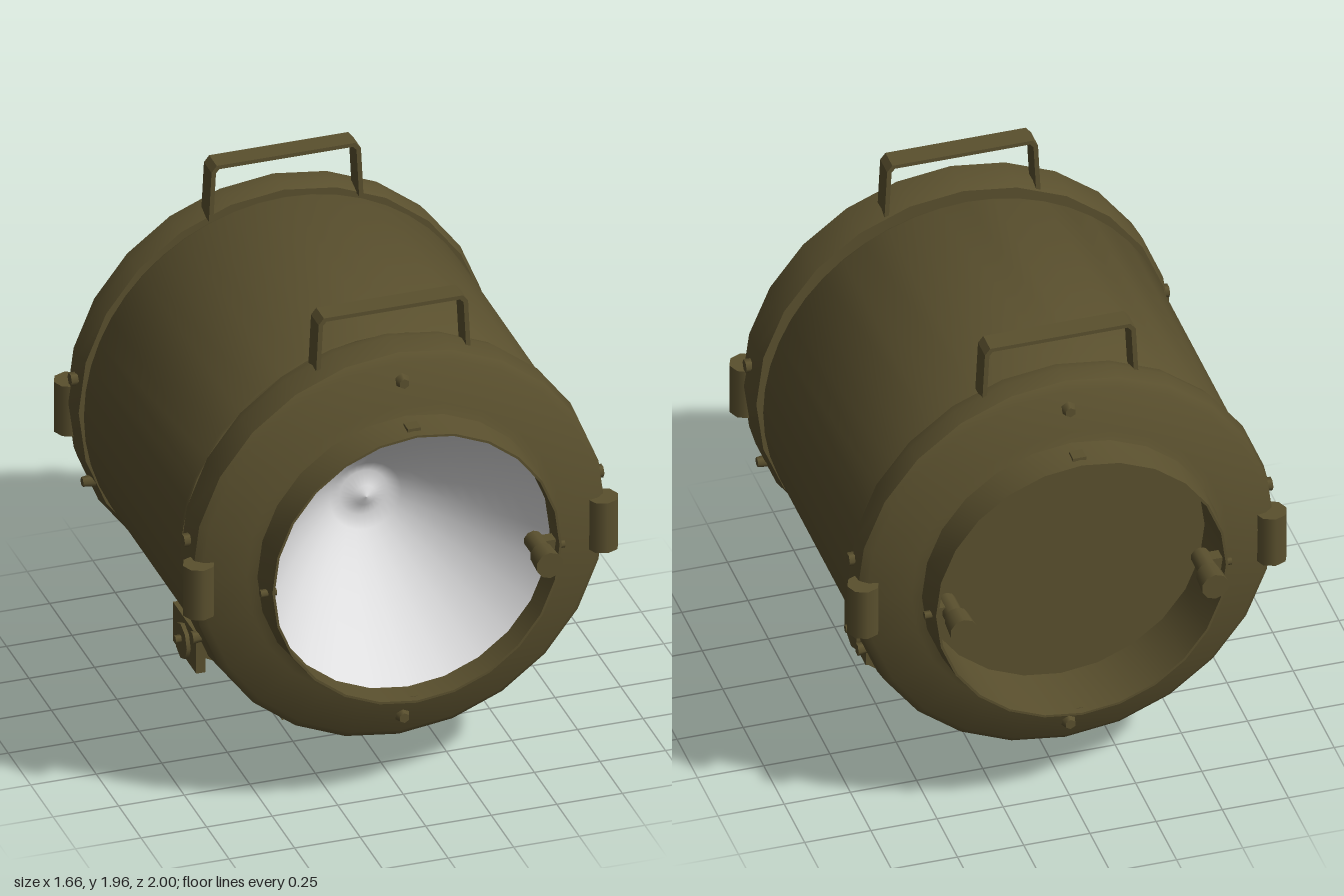
import * as THREE from 'three';
import { toCreasedNormals } from 'three/addons/utils/BufferGeometryUtils.js';

const CY = 1.012; // height of the lamp axis

export function createModel() {
  const model = new THREE.Group();
  model.name = 'searchlight';
  const olive = new THREE.MeshStandardMaterial({ color: 0x5a502e });
  olive.name = 'olive paint';
  const pale = new THREE.MeshStandardMaterial({ color: 0xdededf, side: THREE.DoubleSide });
  pale.name = 'reflector white';

  const add = (parent, name, geo, x = 0, y = 0, z = 0, mat = olive) => {
    const m = new THREE.Mesh(geo, mat);
    m.name = name;
    m.position.set(x, y, z);
    parent.add(m);
    return m;
  };
  // profile of [radius, z] pairs spun about the z axis
  const spin = (pts, seg) => toCreasedNormals(
    new THREE.LatheGeometry(pts.map(p => new THREE.Vector2(p[0], p[1])), seg).rotateX(Math.PI / 2), 0.6);
  // outline of [x, y] pairs given depth along z, centred
  const slab = (pts, depth) => new THREE.ExtrudeGeometry(
    new THREE.Shape(pts.map(p => new THREE.Vector2(p[0], p[1]))),
    { depth, bevelEnabled: false }).translate(0, 0, -depth / 2);
  const rodZ = (r1, r2, len, seg) => new THREE.CylinderGeometry(r1, r2, len, seg).rotateX(Math.PI / 2);
  const rodX = (r1, r2, len, seg) => new THREE.CylinderGeometry(r1, r2, len, seg).rotateZ(-Math.PI / 2);

  // drum with an inner core showing in the gaps beside the rims
  add(model, 'drum', spin([[0.66, -0.572], [0.765, -0.572], [0.77, -0.56], [0.77, 0.5], [0.765, 0.51], [0.66, 0.51]], 48), 0, 1.005);
  add(model, 'core', spin([[0.70, -0.64], [0.70, 0.6]], 32), 0, CY);
  for (const s of [-1, 1]) {
    const arc = new THREE.CylinderGeometry(0.706, 0.706, 0.02, 12, 1, true, s * Math.PI / 2 - 0.72, 1.44);
    add(model, 'gapStrip', arc.rotateX(Math.PI / 2), 0, CY, -0.579, pale);
  }

  // strap handle outline
  const handle = [[-0.295, 1.73], [-0.285, 1.93], [-0.265, 1.955], [0.265, 1.955], [0.285, 1.93], [0.295, 1.73],
    [0.278, 1.73], [0.268, 1.925], [0.255, 1.94], [-0.255, 1.94], [-0.268, 1.925], [-0.278, 1.73]];

  // one end of the lamp: rim, collar, handle, latches, bolts and knobs
  const makeEnd = (name, rimStart, knobSides) => {
    const end = new THREE.Group();
    end.name = name;
    add(end, 'rim', spin([[0.68, rimStart], [0.782, rimStart], [0.797, rimStart + 0.05], [0.788, 0.7], [0.76, 0.725],
      [0.6, 0.76], [0.565, 0.775], [0.552, 0.905], [0.543, 0.905], [0.543, 0.6]], 24), 0, CY);
    add(end, 'handle', slab(handle, 0.085), 0, 0, 0.597);
    for (const s of [-1, 1]) {
      add(end, 'latch', new THREE.CylinderGeometry(0.06, 0.06, 0.205, 8), s * 0.77, 0.975, 0.72);
      add(end, 'sideBolt', rodX(0.025, 0.025, 0.04, 6), s * 0.78, 1.13, 0.63);
      add(end, 'sideBolt', rodX(0.018, 0.025, 0.05, 6), s * 0.735, 0.71, 0.61);
      add(end, 'collarBolt', rodX(0.015, 0.015, 0.06, 6), s * 0.55, 0.985, 0.85);
      add(end, 'collarTab', new THREE.BoxGeometry(0.05, 0.025, 0.05), 0, CY + s * 0.553, 0.85);
      add(end, 'rimBolt', rodZ(0.02, 0.03, 0.03, 6), 0, CY + s * 0.69, 0.75);
    }
    for (const s of knobSides) {
      add(end, 'knobStem', rodZ(0.036, 0.036, 0.15, 10), s * 0.48, 0.99, 0.87);
      add(end, 'knob', rodZ(0.052, 0.046, 0.09, 10), s * 0.475, 0.99, 0.953);
      add(end, 'knobBracket', new THREE.BoxGeometry(0.09, 0.05, 0.05), s * 0.505, 0.99, 0.84);
    }
    model.add(end);
    return end;
  };
  const front = makeEnd('frontEnd', 0.545, [1]);
  const back = makeEnd('backEnd', 0.583, [-1, 1]);
  back.rotation.y = Math.PI;

  // reflector bowl with a small raised centre, and rear cover
  const bowl = [new THREE.Vector2(0, 0.34), new THREE.Vector2(0.04, 0.325)];
  for (let i = 2; i <= 12; i++) {
    const t = i / 12;
    bowl.push(new THREE.Vector2(0.546 * t, 0.27 + 0.53 * Math.pow(t, 1.55)));
  }
  add(front, 'reflector', new THREE.LatheGeometry(bowl, 24).rotateX(Math.PI / 2), 0, CY, 0, pale);
  add(back, 'rearCover', rodZ(0.56, 0.56, 0.02, 32), 0, CY, 0.635);

  // yoke
  const yoke = new THREE.Group();
  yoke.name = 'yoke';
  model.add(yoke);
  add(yoke, 'yokeStrap', slab([[-0.545, 0.43], [-0.57, 0.43], [-0.57, 0.34], [-0.525, 0.32], [-0.25, 0.165],
    [0.25, 0.165], [0.525, 0.32], [0.57, 0.34], [0.57, 0.43], [0.545, 0.43],
    [0.52, 0.36], [0.24, 0.212], [-0.24, 0.212], [-0.52, 0.36]], 0.24));
  add(yoke, 'outerStrap', slab([[0.555, 0.34], [0.575, 0.34], [0.575, 0.28], [0.26, 0.025], [-0.25, 0.025],
    [-0.25, 0.19], [-0.235, 0.19], [-0.235, 0.04], [0.25, 0.04], [0.555, 0.29]], 0.26));
  for (const s of [-1, 1]) {
    add(yoke, 'pivotPlate', new THREE.BoxGeometry(0.035, 0.16, 0.26), s * 0.56, 0.355, 0);
    add(yoke, 'pivotBolt', rodX(0.07, 0.07, 0.02, 8), s * 0.583, 0.345, 0);
    add(yoke, 'pivotTip', rodX(0.015, 0.015, 0.03, 6), s * 0.6, 0.355, 0);
    for (const f of [-1, 1]) {
      const clamp = add(yoke, 'clampKnob', rodZ(0.04, 0.045, 0.06, 8), s * 0.235, 0.125, f * 0.165);
      clamp.scale.y = 1.25;
      clamp.rotation.z = -s * 0.4;
      add(yoke, 'clampStem', rodZ(0.025, 0.025, 0.1, 8), s * 0.235, 0.125, f * 0.11);
    }
  }

  // mounting base
  add(yoke, 'basePlate', new THREE.CylinderGeometry(0.165, 0.17, 0.015, 16), 0, 0.0075, 0);
  add(yoke, 'baseHub', toCreasedNormals(new THREE.CylinderGeometry(0.122, 0.135, 0.14, 16), 0.6), 0, 0.08, 0);
  for (const f of [-1, 1]) add(yoke, 'hubBolt', rodZ(0.03, 0.03, 0.04, 6), 0, 0.09, f * 0.13);
  return model;
}
